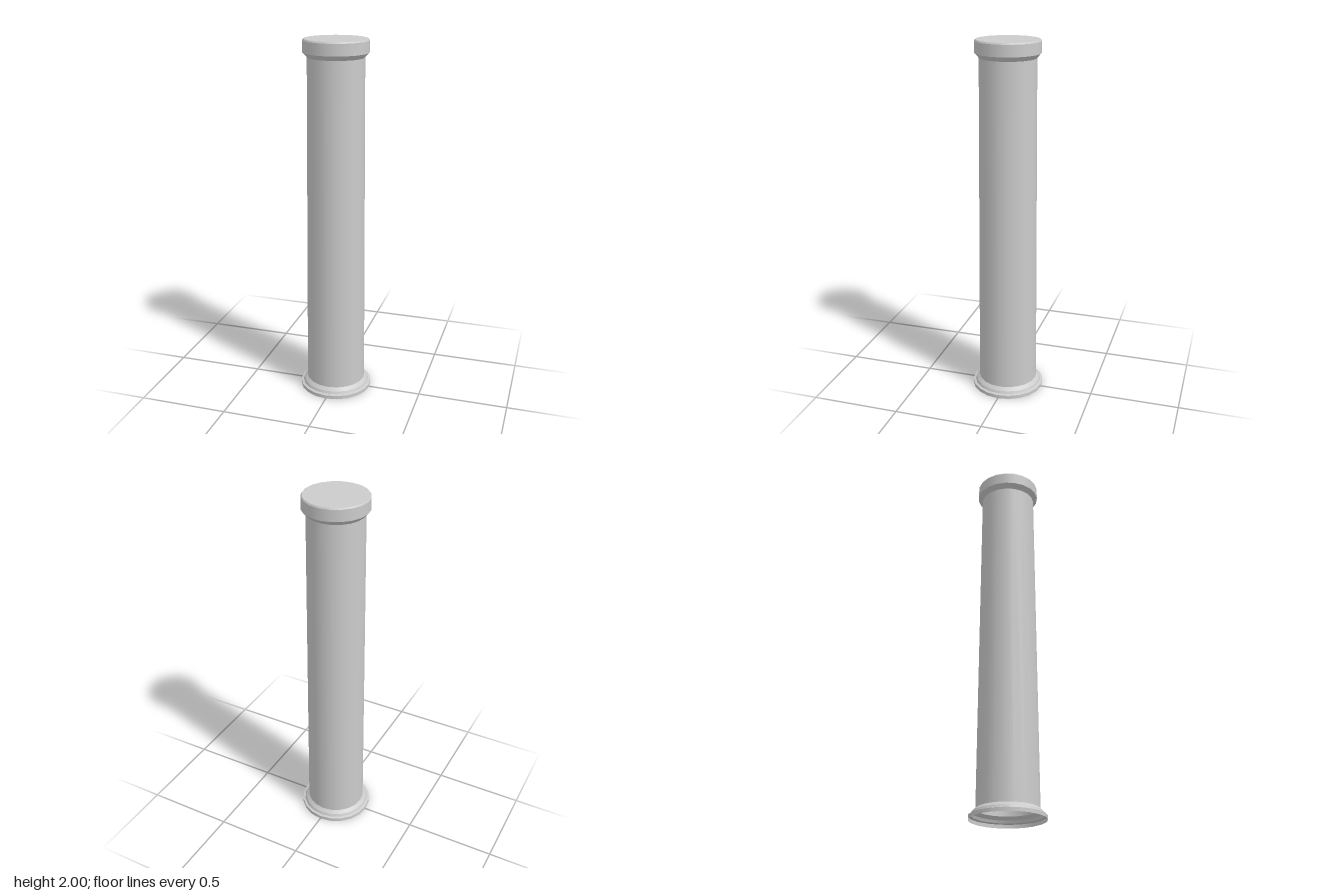
import * as THREE from 'three';

const SIDES = 20;

export function createModel() {
  const group = new THREE.Group();
  group.name = 'column';
  // The column is a hollow shell, open at the bottom
  const material = new THREE.MeshStandardMaterial({ color: 0xcccccc, side: THREE.DoubleSide });

  // Each band is its own lathe: smooth around, sharp between bands
  function addBands(name, profile) {
    const part = new THREE.Group();
    part.name = name;
    for (let i = 0; i < profile.length - 1; i++) {
      const points = [profile[i], profile[i + 1]].map(([r, y]) => new THREE.Vector2(r, y));
      const band = new THREE.Mesh(new THREE.LatheGeometry(points, SIDES), material);
      band.name = `${name}Band${i + 1}`;
      part.add(band);
    }
    group.add(part);
  }

  // Plinth ring and flared moulding
  addBands('base', [
    [0.203, 0], [0.203, 0.02], [0.19, 0.024], [0.184, 0.038], [0.166, 0.055],
  ]);

  // Gently tapering shaft
  addBands('shaft', [[0.166, 0.055], [0.152, 1.905]]);

  // Flared collar, cap band, small bevel and flat top
  addBands('capital', [
    [0.152, 1.905], [0.175, 1.93], [0.175, 1.992], [0.17, 2], [0, 2],
  ]);

  return group;
}
